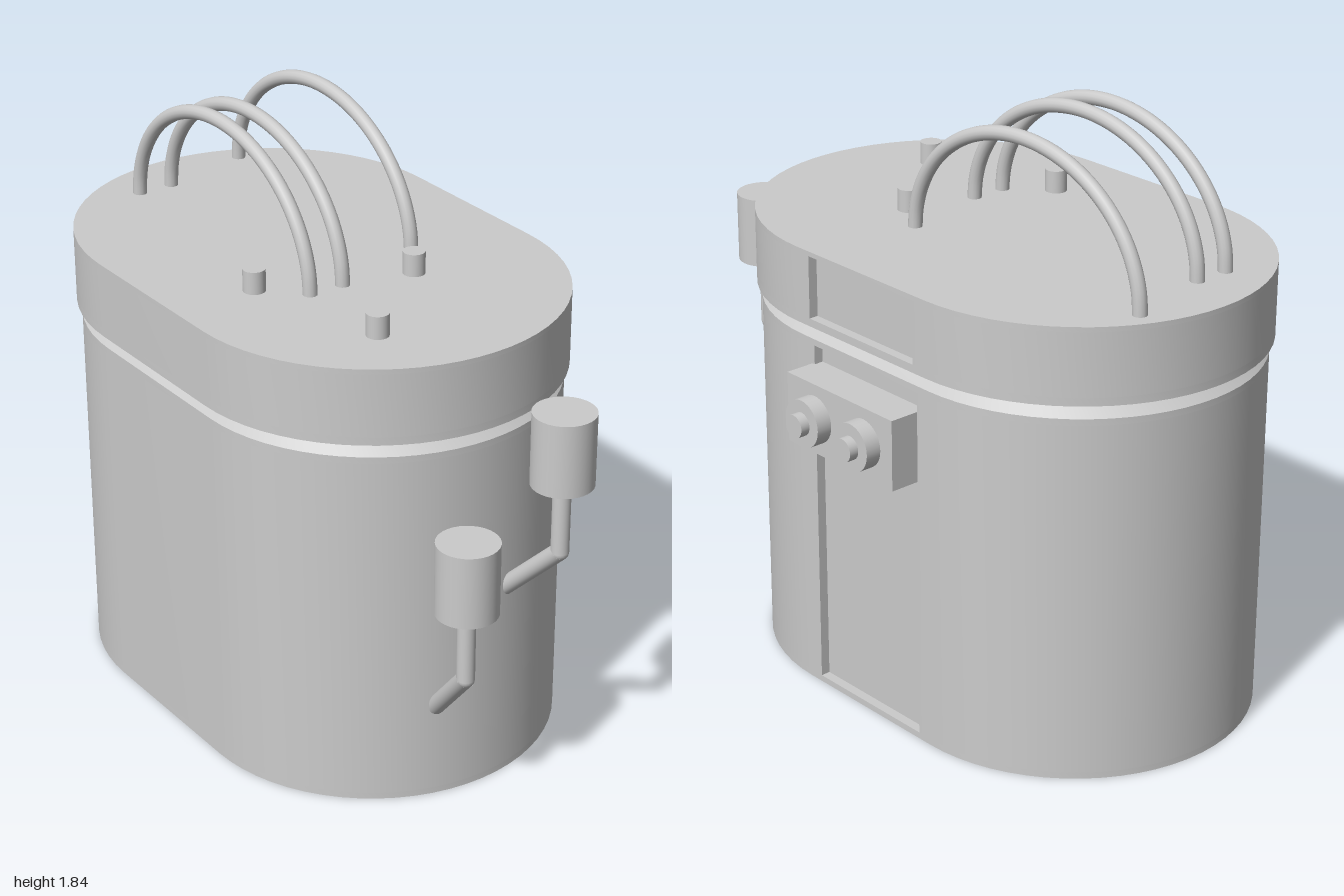
import * as THREE from 'three';
import { toCreasedNormals } from 'three/addons/utils/BufferGeometryUtils.js';

const CX = -0.135, CZ = 0.08; // centre of the tank
const HALF = 0.28;            // half of the straight run of the outline
const NOTCH = 0.23, DEPTH = 0.03; // back recess half width and depth

export function createModel() {
  const root = new THREE.Group();
  const mat = new THREE.MeshStandardMaterial({ color: 0xcccccc });

  const group = (name) => {
    const g = new THREE.Group();
    g.name = name;
    root.add(g);
    return g;
  };
  const add = (parent, name, geo, x = 0, y = 0, z = 0) => {
    const m = new THREE.Mesh(geo, mat);
    m.name = name;
    m.position.set(x, y, z);
    parent.add(m);
    return m;
  };
  const cyl = (r, h) => new THREE.CylinderGeometry(r, r, h, 32);

  // Rounded-end outline, optionally notched at the back
  const outline = (r, notched) => {
    const s = new THREE.Shape();
    s.moveTo(-HALF, -r);
    s.lineTo(HALF, -r);
    s.absarc(HALF, 0, r, -Math.PI / 2, Math.PI / 2, false);
    if (notched) {
      s.lineTo(NOTCH, r);
      s.lineTo(NOTCH, r - DEPTH);
      s.lineTo(-NOTCH, r - DEPTH);
      s.lineTo(-NOTCH, r);
    }
    s.lineTo(-HALF, r);
    s.absarc(-HALF, 0, r, Math.PI / 2, Math.PI * 1.5, false);
    return s;
  };

  // One horizontal slice of the tank; the top edge may taper to radius r1
  const slice = (parent, name, y0, y1, r0, r1 = r0, notched = false) => {
    const geo = new THREE.ExtrudeGeometry(outline(r0, notched),
      { depth: y1 - y0, bevelEnabled: false, curveSegments: 16 });
    geo.rotateX(-Math.PI / 2);
    const p = geo.attributes.position;
    for (let i = 0; i < p.count; i++) {
      if (p.getY(i) < (y1 - y0) / 2) continue;
      const x = p.getX(i), core = THREE.MathUtils.clamp(x, -HALF, HALF);
      p.setX(i, core + (x - core) * r1 / r0);
      p.setZ(i, p.getZ(i) * r1 / r0);
    }
    add(parent, name, toCreasedNormals(geo, 0.5), CX, y0, CZ);
  };

  // Tank body with back recess, chamfered shoulder and neck
  const body = group('body');
  slice(body, 'bodyBase', 0, 0.02, 0.57);
  slice(body, 'bodyWall', 0.02, 1.13, 0.57, 0.57, true);
  slice(body, 'bodyRim', 1.13, 1.15, 0.57);
  slice(body, 'shoulder', 1.15, 1.185, 0.57, 0.535);
  slice(body, 'neck', 1.185, 1.2, 0.535);

  // Lid with matching recess
  const lid = group('lid');
  slice(lid, 'lidLowerRim', 1.195, 1.22, 0.585);
  slice(lid, 'lidWall', 1.22, 1.415, 0.585, 0.585, true);
  slice(lid, 'lidTop', 1.415, 1.43, 0.585);

  // Arched tubes on the lid: [centre x, z]
  const arches = group('arches');
  for (const [x, z] of [[-0.42, -0.135], [-0.35, 0.165], [-0.35, 0.28]]) {
    const pts = [new THREE.Vector3(0.468, -0.02, 0)];
    for (let i = 0; i <= 20; i++) {
      const a = i / 20 * Math.PI;
      pts.push(new THREE.Vector3(0.468 * Math.cos(a), 0.39 * Math.sin(a), 0));
    }
    pts.push(new THREE.Vector3(-0.468, -0.02, 0));
    const path = new THREE.CatmullRomCurve3(pts);
    add(arches, 'arch', new THREE.TubeGeometry(path, 64, 0.022, 14), x, 1.43, z);
  }

  // Small pegs on the lid
  const pegs = group('pegs');
  for (const [x, z] of [[0.17, -0.055], [0, 0.395], [0.45, 0.28]])
    add(pegs, 'peg', cyl(0.034, 0.08), x, 1.46, z);

  // Control box with two stepped knobs at the back
  const control = group('controlBox');
  add(control, 'box', new THREE.BoxGeometry(0.47, 0.22, 0.13), -0.13, 0.96, -0.52);
  for (const x of [-0.24, -0.02]) {
    add(control, 'knob', cyl(0.074, 0.06), x, 0.96, -0.605).rotation.x = Math.PI / 2;
    add(control, 'knobTip', cyl(0.036, 0.06), x, 0.96, -0.635).rotation.x = Math.PI / 2;
  }

  // Straight rod between two points
  const rod = (parent, a, b) => {
    const dir = b.clone().sub(a);
    const m = add(parent, 'pipe', cyl(0.027, dir.length()));
    m.position.copy(a).add(b).multiplyScalar(0.5);
    m.quaternion.setFromUnitVectors(new THREE.Vector3(0, 1, 0), dir.normalize());
  };

  // Cups on bent pipes: x, z, cup base y, bend y, wall point
  const cups = [
    [0.905, -0.03, 1.06, 0.84, new THREE.Vector3(0.69, 0.63, -0.008)],
    [0.885, 0.285, 0.74, 0.52, new THREE.Vector3(0.68, 0.3, 0.233)],
  ];
  for (const [x, z, y, bendY, wall] of cups) {
    const g = group('sideCup');
    const bend = new THREE.Vector3(x, bendY, z);
    add(g, 'cup', cyl(0.093, 0.225), x, y + 0.1125, z);
    rod(g, new THREE.Vector3(x, y + 0.01, z), bend);
    rod(g, bend, wall);
    add(g, 'pipeElbow', new THREE.SphereGeometry(0.027, 20, 12), x, bendY, z);
  }

  return root;
}
